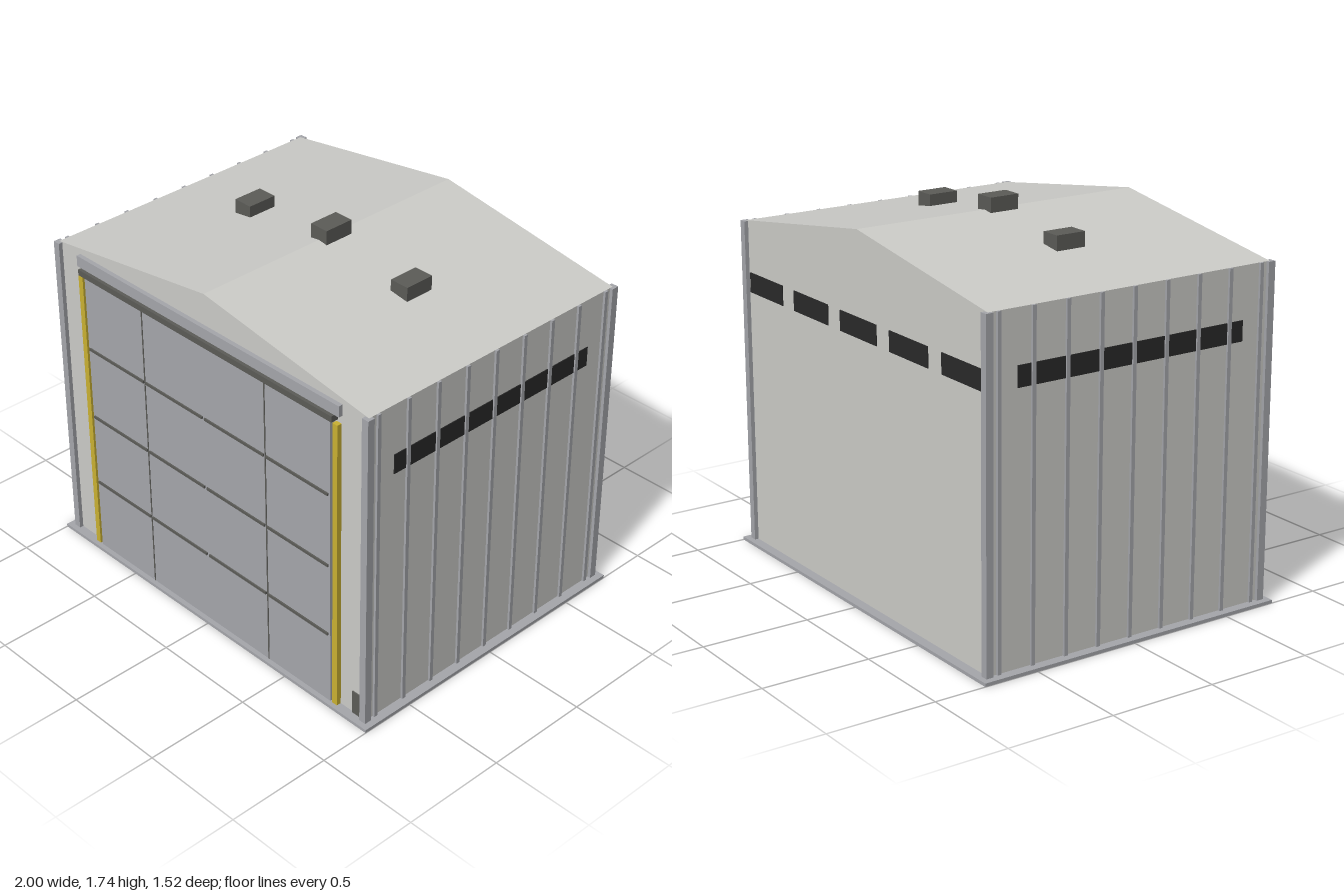
import * as THREE from 'three';

const paint = (name, color) => {
  const m = new THREE.MeshStandardMaterial({ color });
  m.name = name;
  return m;
};

export function createModel() {
  const wall = paint('pale cladding', 0xcdcdc9);
  const steel = paint('grey steel', 0xa6a7ac);
  const dark = paint('dark grey metal', 0x5c5c58);
  const glass = paint('black glass', 0x2a2a2a);
  const yellow = paint('safety yellow', 0xcbb233);

  const model = new THREE.Group();
  model.name = 'industrialHall';

  // Box given by its minimum and maximum on each axis
  const box = (name, mat, [x0, x1], [y0, y1], [z0, z1]) => {
    const mesh = new THREE.Mesh(new THREE.BoxGeometry(x1 - x0, y1 - y0, z1 - z0), mat);
    mesh.position.set((x0 + x1) / 2, (y0 + y1) / 2, (z0 + z1) / 2);
    mesh.name = name;
    model.add(mesh);
  };
  const around = (c, size) => [c - size / 2, c + size / 2];

  const floor = 0.015, eave = 1.537, ridge = 1.68, halfW = 0.955, halfD = 0.715;

  // Foundation slab
  box('foundation', steel, [-1, 1], [0, floor], [-0.76, 0.76]);

  // Walls and pitched roof as one gabled prism
  const gable = new THREE.Shape();
  gable.moveTo(-halfW, floor);
  gable.lineTo(halfW, floor);
  gable.lineTo(halfW, eave);
  gable.lineTo(0, ridge);
  gable.lineTo(-halfW, eave);
  gable.closePath();
  const hallGeo = new THREE.ExtrudeGeometry(gable, { depth: 2 * halfD, bevelEnabled: false });
  hallGeo.translate(0, 0, -halfD);
  const hall = new THREE.Mesh(hallGeo, wall);
  hall.name = 'wallsAndRoof';
  model.add(hall);

  for (const s of [-1, 1]) {
    // Corner posts
    for (const t of [-1, 1]) {
      box('cornerPost', steel, around(s * 0.9525, 0.035), [floor, eave], around(t * 0.7165, 0.035));
    }
    // Side ribs over a long window band
    for (let i = -4; i <= 4; i++) {
      box('wallRib', steel, around(s * 0.957, 0.018), [floor, eave], around(i / 6, 0.018));
    }
    box('sideWindow', glass, around(s * 0.956, 0.006), [1.21, 1.302], [-0.575, 0.575]);
    // Door guide rails
    box('doorGuide', yellow, around(s * 0.79, 0.028), [floor, 1.44], [0.71, 0.738]);
  }

  // Rear windows
  for (let i = -2; i <= 2; i++) {
    box('rearWindow', glass, around(i * 0.39, 0.29), [1.21, 1.302], [-0.719, -0.713]);
  }

  // Sectional door with its seams
  box('door', steel, [-0.763, 0.763], [floor, 1.44], [0.71, 0.737]);
  for (const y of [0.373, 0.73, 1.086]) {
    for (let i = 0; i < 4; i++) {
      box('doorSeam', dark, around((i - 1.5) * 0.38, 0.366), around(y, 0.012), [0.736, 0.744]);
    }
  }
  for (const x of [-0.383, 0.38]) {
    box('doorJoint', dark, around(x, 0.007), [floor, 1.44], [0.733, 0.7385]);
  }

  // Lintel above the door with a dark seal strip
  box('doorHeader', steel, [-0.81, 0.81], [1.48, 1.532], [0.71, 0.736]);
  box('doorSeal', dark, [-0.785, 0.785], [1.452, 1.48], [0.71, 0.752]);

  // Control box beside the door
  box('controlBox', dark, [0.877, 0.93], [floor, 0.13], [0.71, 0.721]);

  // Roof vents
  for (const x of [-0.48, 0, 0.475]) {
    const y = x === 0 ? 1.67 : 1.6;
    box('roofVent', dark, around(x, 0.095), [y, x === 0 ? 1.74 : 1.668], [-0.072, 0.072]);
  }
  return model;
}
